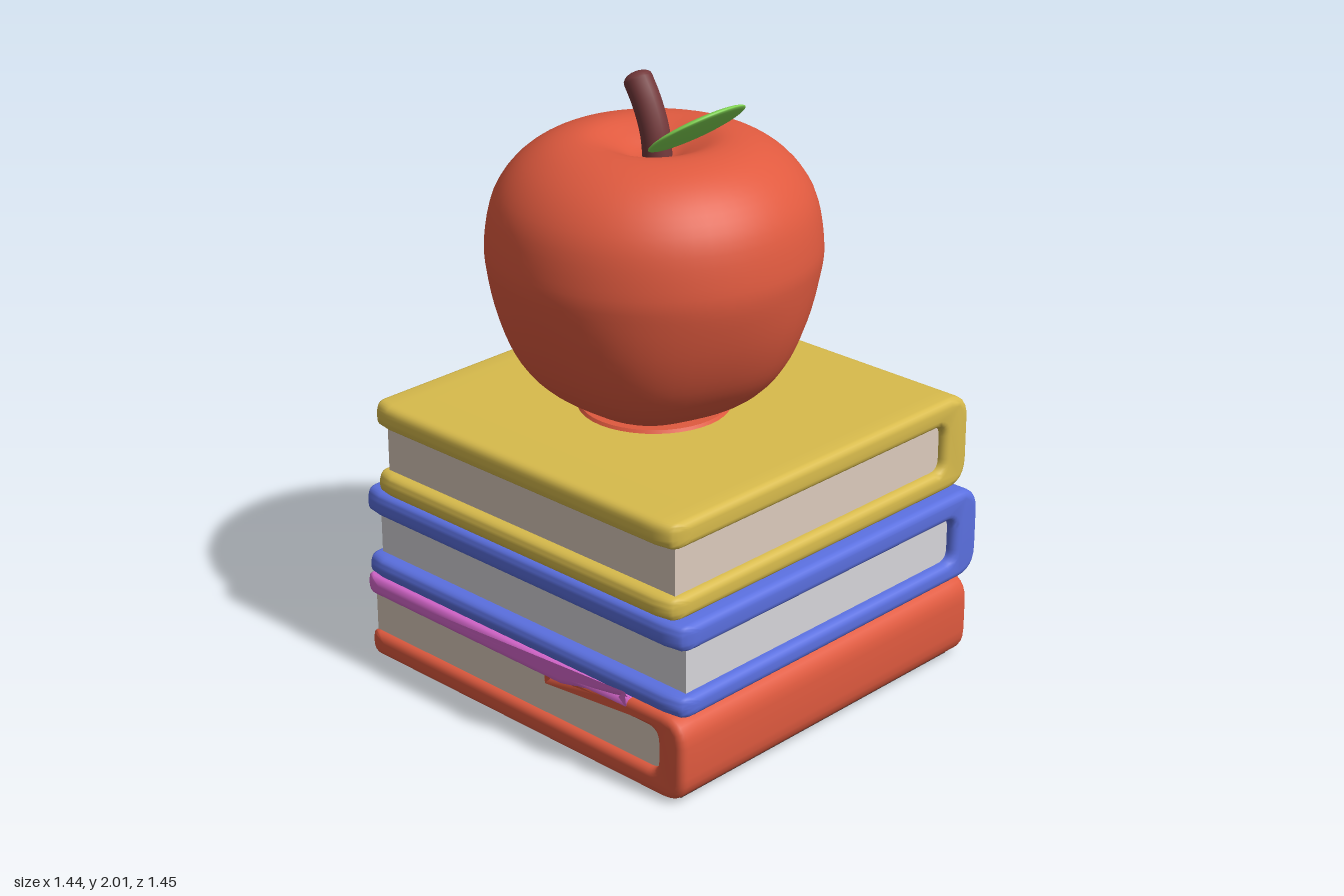
import * as THREE from 'three';
import { toCreasedNormals, mergeVertices } from 'three/addons/utils/BufferGeometryUtils.js';
import { RoundedBoxGeometry } from 'three/addons/geometries/RoundedBoxGeometry.js';

const material = (name, color) => {
  const m = new THREE.MeshStandardMaterial({ color });
  m.name = name;
  return m;
};

// Closed shape through [x, y, cornerRadius] points
function roundedShape(pts) {
  const shape = new THREE.Shape();
  pts.forEach(([x, y, r], i) => {
    const p = new THREE.Vector2(x, y);
    const toward = ([qx, qy]) => {
      const d = new THREE.Vector2(qx, qy).sub(p);
      return d.setLength(Math.min(r, d.length() * 0.49)).add(p);
    };
    const a = toward(pts[(i + pts.length - 1) % pts.length]);
    const b = toward(pts[(i + 1) % pts.length]);
    if (i === 0) shape.moveTo(a.x, a.y);
    else shape.lineTo(a.x, a.y);
    shape.quadraticCurveTo(x, y, b.x, b.y);
  });
  shape.closePath();
  return shape;
}

// Soft extrusion along z whose free edge (low x) has corners rounded in plan
function softBoard(pts, depth, freeX) {
  const b = 0.026, r = 0.06, reach = 0.3;
  const geo = new THREE.ExtrudeGeometry(roundedShape(pts), {
    depth: depth - 2 * b, steps: 24, curveSegments: 6,
    bevelThickness: b, bevelSize: b, bevelOffset: -b, bevelSegments: 4,
  });
  geo.translate(0, 0, b - depth / 2);
  const pos = geo.attributes.position;
  for (let i = 0; i < pos.count; i++) {
    const x = pos.getX(i);
    const d = Math.min(r, Math.max(0, Math.abs(pos.getZ(i)) - depth / 2 + r));
    const inset = r - Math.sqrt(r * r - d * d);
    const weight = Math.max(0, 1 - (x - freeX) / reach);
    pos.setX(i, x + inset * Math.min(1, weight));
  }
  return toCreasedNormals(geo, 0.8);
}

// C-shaped cover: two boards joined by a spine at high x
function coverProfile({ x0, x1, y0, y1, bottom, top, spine, topEnd = [x0, x0] }) {
  const e = 0.035, s = 0.09;
  return [
    [x0, y0, e], [x1, y0, s], [x1, y1, s], [topEnd[0], y1, e],
    [topEnd[1], y1 - top, e], [x1 - spine, y1 - top, 0.04],
    [x1 - spine, y0 + bottom, 0.04], [x0, y0 + bottom, e],
  ];
}

export function createModel() {
  const model = new THREE.Group();
  model.name = 'appleOnBooks';
  const mat = {
    red: material('red', 0xe05a3f),
    yellow: material('yellow', 0xd8bb4c),
    blue: material('blue', 0x5b70e0),
    pink: material('pink', 0xd968cf),
    cream: material('cream paper', 0xdccbbd),
    white: material('white paper', 0xd6d5da),
    green: material('leaf green', 0x86dc56),
    brown: material('stem brown', 0x74393b),
    dark: material('dark underside', 0x43302f),
  };
  const add = (parent, name, geo, m, x = 0, y = 0, z = 0) => {
    const mesh = new THREE.Mesh(geo, m);
    mesh.name = name;
    mesh.position.set(x, y, z);
    parent.add(mesh);
    return mesh;
  };
  const boxBetween = (parent, name, m, [x0, x1], [y0, y1], [z0, z1], round = 0) => {
    const size = [x1 - x0, y1 - y0, z1 - z0];
    const geo = round ? new RoundedBoxGeometry(...size, 3, round) : new THREE.BoxGeometry(...size);
    return add(parent, name, geo, m, (x0 + x1) / 2, (y0 + y1) / 2, (z0 + z1) / 2);
  };
  const book = (name) => {
    const g = new THREE.Group();
    g.name = name;
    model.add(g);
    return g;
  };

  // Top book, spine on +x
  const yellow = book('yellowBook');
  add(yellow, 'yellowCover', softBoard(coverProfile({
    x0: -0.71, x1: 0.68, y0: 0.6, y1: 0.92, bottom: 0.075, top: 0.085, spine: 0.12,
  }), 1.34, -0.71), mat.yellow);
  boxBetween(yellow, 'yellowBookPages', mat.cream, [-0.665, 0.6], [0.66, 0.85], [-0.635, 0.64]);
  boxBetween(yellow, 'yellowTab', mat.yellow, [0.65, 0.715], [0.7, 0.84], [0.45, 0.505], 0.02);

  // Middle book, spine on +x
  const blue = book('blueBook');
  add(blue, 'blueCover', softBoard(coverProfile({
    x0: -0.72, x1: 0.685, y0: 0.295, y1: 0.605, bottom: 0.07, top: 0.085, spine: 0.12,
  }), 1.44, -0.72), mat.blue);
  boxBetween(blue, 'blueBookPages', mat.white, [-0.665, 0.6], [0.35, 0.54], [-0.685, 0.685]);
  boxBetween(blue, 'blueTab', mat.blue, [0.65, 0.705], [0.355, 0.505], [0.455, 0.545], 0.02);

  // Bottom book, turned so its spine faces the front
  const red = book('redBook');
  const redDepth = 1.365, redX = -0.035;
  const redCover = add(red, 'redCover', softBoard(coverProfile({
    x0: -0.725, x1: 0.72, y0: 0.004, y1: 0.29, bottom: 0.08, top: 0.062, spine: 0.11,
    topEnd: [0.4, 0.1],
  }), redDepth, -0.725), mat.red, redX);
  const pinkBoard = add(red, 'pinkTopBoard', softBoard([
    [-0.73, 0.226, 0.03], [0.2, 0.226, 0.01], [0.5, 0.294, 0.01], [-0.73, 0.294, 0.03],
  ], redDepth + 0.012, -0.73), mat.pink, redX);
  redCover.rotation.y = pinkBoard.rotation.y = -Math.PI / 2;
  boxBetween(red, 'redBookPages', mat.cream, [-0.69, 0.62], [0.07, 0.24], [-0.695, 0.63]);
  boxBetween(red, 'redBookUnderside', mat.dark, [-0.67, 0.6], [0, 0.008], [-0.67, 0.67]);

  // Apple body: lathe with soft lobes near the base and a dip at the top
  const apple = book('apple');
  apple.position.set(-0.083, 0, -0.007);
  const profile = new THREE.SplineCurve([
    [0, 0.95], [0.12, 0.93], [0.22, 0.94], [0.33, 1.0], [0.42, 1.1], [0.485, 1.24],
    [0.525, 1.4], [0.528, 1.5], [0.5, 1.63], [0.43, 1.73], [0.33, 1.795],
    [0.22, 1.815], [0.13, 1.785], [0.06, 1.75], [0, 1.74],
  ].map(([x, y]) => new THREE.Vector2(x, y)));
  const points = profile.getPoints(56);
  points.forEach((p) => { p.x = Math.max(0, p.x); });
  let body = new THREE.LatheGeometry(points, 56);
  body.deleteAttribute('uv');
  body.deleteAttribute('normal');
  body = mergeVertices(body, 1e-4);
  const pos = body.attributes.position;
  for (let i = 0; i < pos.count; i++) {
    const x = pos.getX(i), y = pos.getY(i), z = pos.getZ(i);
    const low = Math.max(0, Math.min(1, (1.4 - y) / 0.35));
    const k = 1 + 0.03 * low * Math.cos(5 * Math.atan2(z, x));
    pos.setXYZ(i, x * k, y, z * k);
  }
  body.computeVertexNormals();
  add(apple, 'appleBody', body, mat.red);
  add(apple, 'appleFoot', new THREE.CylinderGeometry(0.24, 0.25, 0.016, 40), mat.red, 0, 0.922, 0);
  add(apple, 'appleBump', new THREE.SphereGeometry(0.015, 10, 8), mat.red, 0.48, 1.49, -0.26);

  // Stem: bent tube with a rounded tip
  const stemPath = new THREE.CatmullRomCurve3([
    [0, 1.72, 0.005], [0, 1.82, -0.008], [0, 1.91, -0.042], [0, 1.975, -0.08],
  ].map((p) => new THREE.Vector3(...p)));
  add(apple, 'stem', new THREE.TubeGeometry(stemPath, 16, 0.047, 14), mat.brown, 0.013);
  const tip = add(apple, 'stemTip', new THREE.SphereGeometry(0.047, 14, 10), mat.brown, 0.013, 1.975, -0.08);
  tip.scale.set(1, 0.55, 1);
  tip.rotation.x = -0.53;

  // Leaf: thin tilted oval
  const leaf = add(apple, 'leaf', new THREE.SphereGeometry(1, 32, 16), mat.green, 0.01, 1.875, 0.172);
  leaf.scale.set(0.166, 0.019, 0.16);
  leaf.rotation.x = -0.62;

  return model;
}
